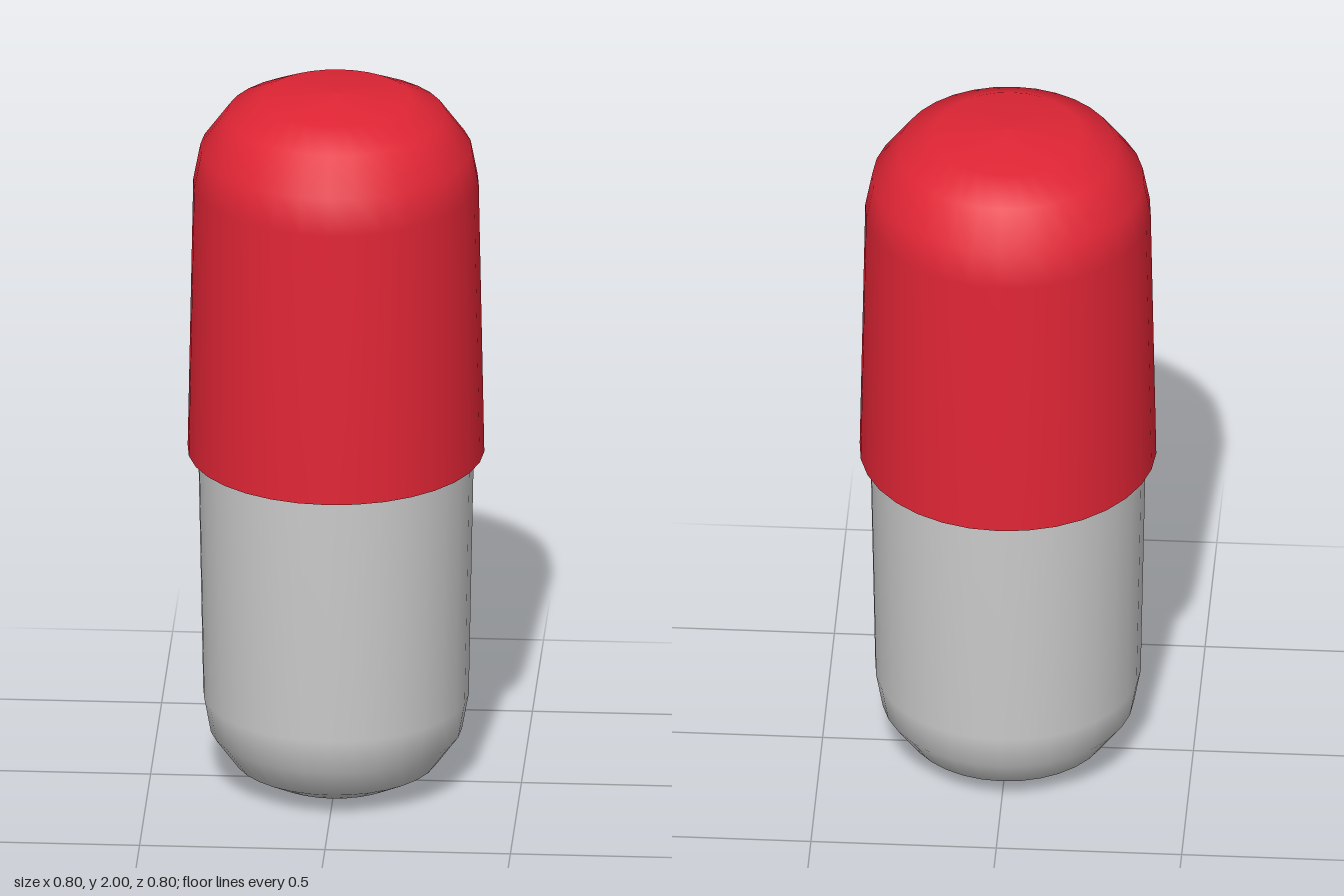
import * as THREE from 'three';

const SIDES = 32;

// Revolve [radius, height] points, listed from bottom to top
function revolve(name, points, color) {
  const profile = points.map(([r, y]) => new THREE.Vector2(r, y));
  const mesh = new THREE.Mesh(
    new THREE.LatheGeometry(profile, SIDES),
    new THREE.MeshStandardMaterial({ color })
  );
  mesh.name = name;
  return mesh;
}

export function createModel() {
  const capsule = new THREE.Group();
  capsule.name = 'capsule';
  const red = 0xe02535;

  // Lower half, its open rim tucked inside the cap
  capsule.add(revolve('lowerShell', [
    [0, 0], [0.19, 0.02], [0.275, 0.065], [0.34, 0.155], [0.358, 0.255], [0.372, 0.98],
  ], 0xcccccc));

  // Upper half, slightly wider
  const cap = new THREE.Group();
  cap.name = 'cap';
  cap.add(revolve('capShell', [
    [0.4, 0.963], [0.385, 1.74], [0.366, 1.84], [0.295, 1.938], [0.2, 1.984], [0, 2],
  ], red));

  // Flat lip under the cap, kept separate for a sharp edge
  cap.add(revolve('capLip', [[0.365, 0.963], [0.4, 0.963]], red));
  capsule.add(cap);

  return capsule;
}
